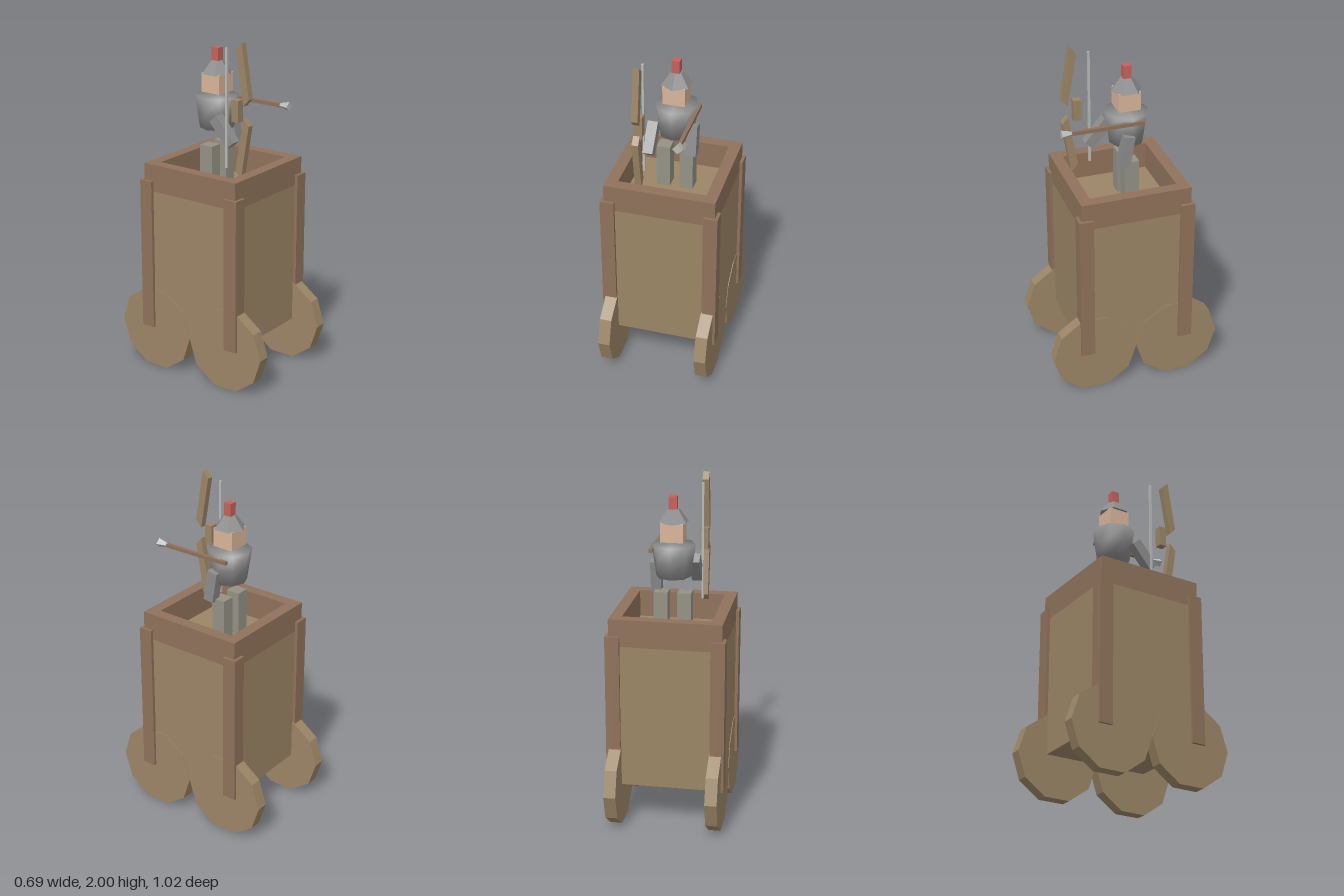
import * as THREE from 'three';
import { mergeVertices } from 'three/addons/utils/BufferGeometryUtils.js';

const mat = (color, flatShading = true) => new THREE.MeshStandardMaterial({ color, flatShading });

export function createModel() {
  const root = new THREE.Group();
  const wood = mat(0x9b8566), trim = mat(0x8f725b), skin = mat(0xd9b59a);
  const metal = mat(0x8c8c8c), smoothMetal = mat(0x8c8c8c, false);
  const cloth = mat(0x949285), red = mat(0xc5625a), steel = mat(0xb8bab8);

  const add = (parent, name, geometry, material, x = 0, y = 0, z = 0, rx = 0) => {
    const mesh = new THREE.Mesh(geometry, material);
    mesh.name = name;
    mesh.position.set(x, y, z);
    mesh.rotation.x = rx;
    parent.add(mesh);
    return mesh;
  };
  const box = (w, h, d) => new THREE.BoxGeometry(w, h, d);
  const group = (name, x = 0, y = 0, z = 0) => {
    const g = new THREE.Group();
    g.name = name;
    g.position.set(x, y, z);
    root.add(g);
    return g;
  };

  // Tower body with an open parapet on top
  const tower = group('tower');
  add(tower, 'towerBody', box(0.65, 0.85, 0.65), wood, 0, 0.675, 0);
  const square = (Type, r) => new Type([[-r, -r], [r, -r], [r, r], [-r, r]].map(p => new THREE.Vector2(...p)));
  const rim = square(THREE.Shape, 0.325);
  rim.holes.push(square(THREE.Path, 0.257));
  add(tower, 'parapet', new THREE.ExtrudeGeometry(rim, { depth: 0.16, bevelEnabled: false }),
    trim, 0, 1.1, 0, -Math.PI / 2);

  // Corner posts and ten-sided wheels
  const wheel = new THREE.CylinderGeometry(0.254, 0.254, 0.071, 10);
  wheel.rotateY(Math.PI / 2).rotateZ(Math.PI / 2);
  wheel.rotateX(Math.PI / 2);
  // a vertex points straight forward, so the wheel rests on a flat side
  wheel.computeBoundingBox();
  if (wheel.boundingBox.max.z < 0.25) wheel.rotateX(Math.PI / 2);
  for (const sx of [-1, 1]) for (const sz of [-1, 1]) {
    add(tower, 'cornerPost', box(0.083, 0.91, 0.083), trim, sx * 0.302, 0.705, sz * 0.302);
    add(tower, 'wheel', wheel, wood, sx * 0.293, 0.242, sz * 0.254);
  }

  // Archer
  const archer = group('archer', 0, 0, -0.045);
  for (const sx of [-1, 1]) add(archer, 'leg', box(0.08, 0.26, 0.085), cloth, sx * 0.068, 1.23, 0);
  let torso = new THREE.CylinderGeometry(0.128, 0.1, 0.19, 8, 2);
  torso.deleteAttribute('uv');
  torso.deleteAttribute('normal');
  torso = mergeVertices(torso);
  torso.computeVertexNormals();
  add(archer, 'torso', torso, smoothMetal, 0, 1.545, 0);
  add(archer, 'head', box(0.13, 0.11, 0.128), skin, 0, 1.715, 0);
  add(archer, 'helmet', new THREE.CylinderGeometry(0.036, 0.092, 0.075, 6), metal, 0, 1.805, 0);
  add(archer, 'plume', box(0.046, 0.08, 0.046), red, 0, 1.877, 0);
  const arm = box(0.06, 0.185, 0.065);
  add(archer, 'leftArm', arm, metal, 0.105, 1.44, 0.037, -0.16);
  add(archer, 'rightArm', arm, metal, -0.11, 1.47, 0.135, -0.7);

  // Bow, mirrored about its grip
  const bow = group('bow', -0.143, 1.615, 0);
  for (const s of [1, -1]) {
    // limb outline as (z, y), extruded across x
    const limb = new THREE.Shape([[0.245, 0.385], [0.295, 0.075], [0.258, 0.035], [0.205, 0.345]]
      .map(([z, y]) => new THREE.Vector2(-z, s * y)));
    const g = new THREE.ExtrudeGeometry(limb, { depth: 0.038, bevelEnabled: false });
    g.translate(0, 0, -0.019).rotateY(Math.PI / 2);
    add(bow, 'bowLimb', g, wood);
  }
  add(bow, 'bowGrip', box(0.045, 0.125, 0.046), wood, 0, 0, 0.203);
  add(bow, 'bowString', box(0.013, 0.69, 0.013), steel, 0.001, 0, 0.129);

  // Arrow with a flared four-sided head
  const arrow = group('arrow', 0.12, 1.608, 0);
  add(arrow, 'arrowShaft', box(0.021, 0.021, 0.425), trim, 0, 0, 0.1);
  add(arrow, 'arrowHead', new THREE.CylinderGeometry(0.028, 0.012, 0.06, 4), steel, 0, 0, 0.341, Math.PI / 2);

  return root;
}
